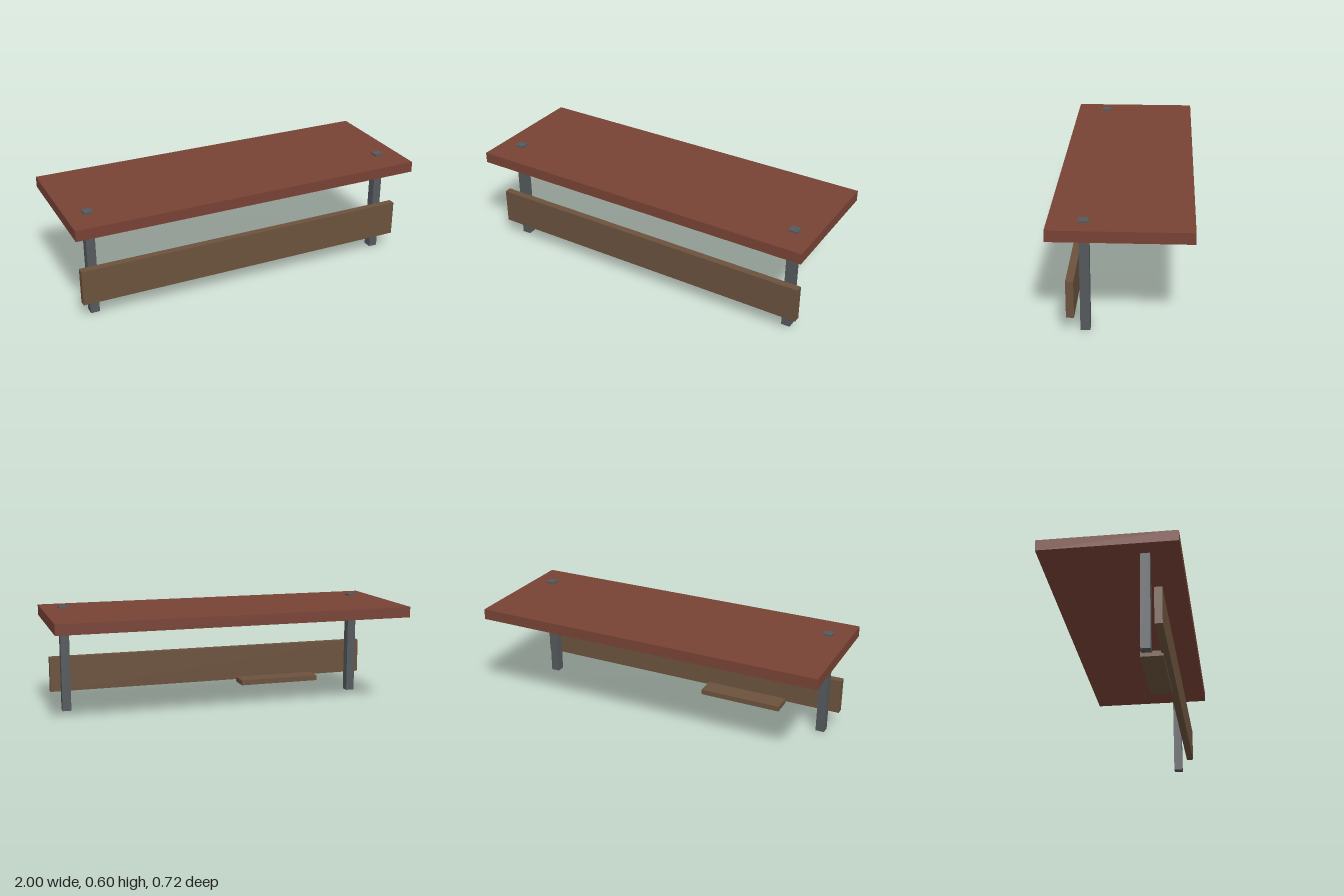
import * as THREE from 'three';

const paint = (name, color) => {
  const m = new THREE.MeshStandardMaterial({ color });
  m.name = name;
  return m;
};

export function createModel() {
  const redWood = paint('red wood', 0x784235);
  const brownWood = paint('brown wood', 0x6b523d);
  const steel = paint('grey steel', 0x55595c);

  const group = new THREE.Group();
  group.name = 'bench';

  const box = (name, material, [w, h, d], [x, y, z]) => {
    const mesh = new THREE.Mesh(new THREE.BoxGeometry(w, h, d), material);
    mesh.name = name;
    mesh.position.set(x, y, z);
    group.add(mesh);
  };

  // Wide top slab
  box('tabletop', redWood, [2, 0.06, 0.72], [0, 0.56, 0]);

  // Square posts running up through the slab
  for (const side of [-1, 1]) {
    box(side > 0 ? 'leftPost' : 'rightPost', steel, [0.05, 0.6, 0.05], [side * 0.88, 0.3, 0.18]);
  }

  // Front board and the small shelf joined to its lower edge
  box('frontPanel', brownWood, [1.92, 0.2, 0.04], [0, 0.2, 0.25]);
  box('shelf', brownWood, [0.48, 0.03, 0.12], [-0.4, 0.1, 0.18]);

  return group;
}
